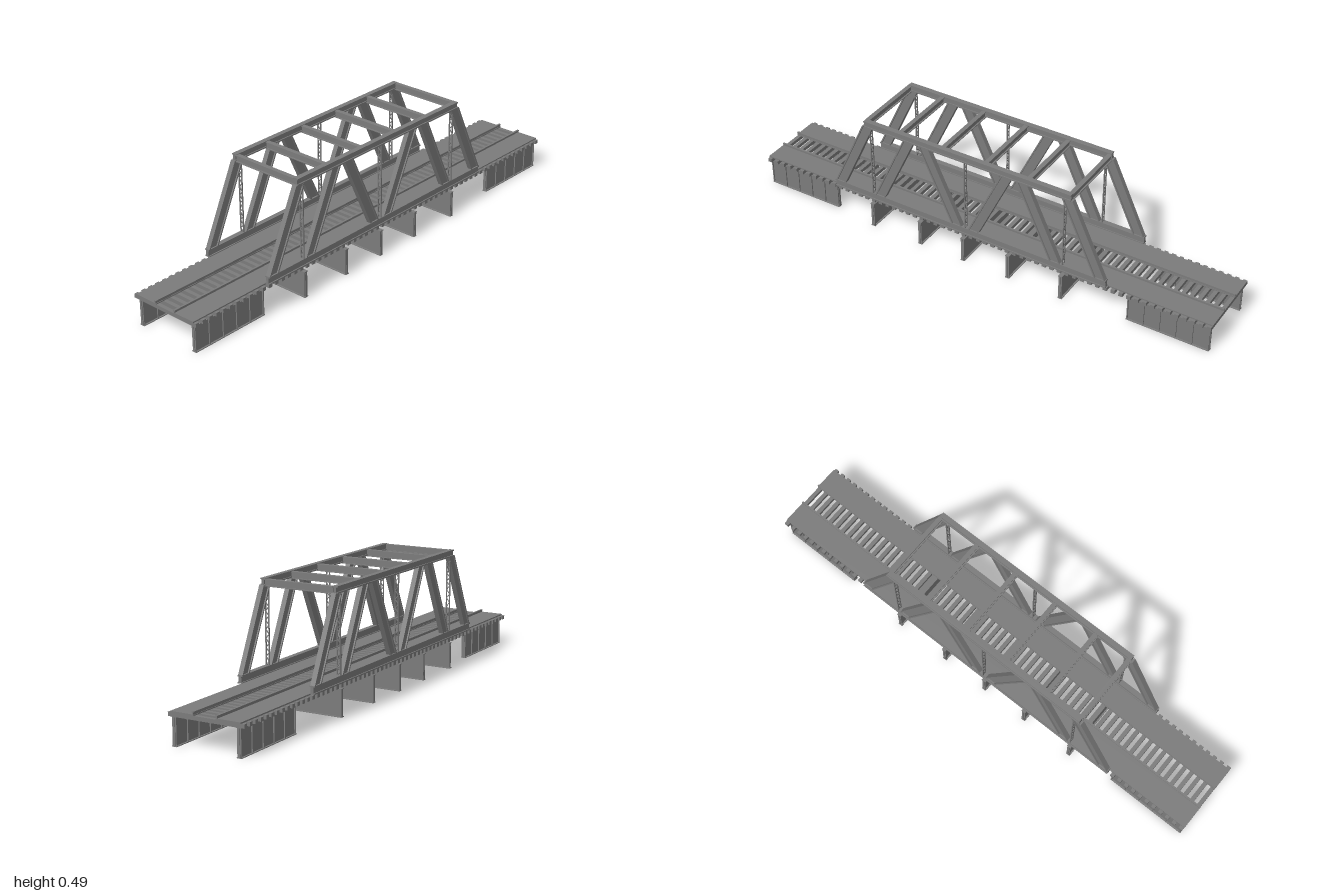
import * as THREE from 'three';

const steel = new THREE.MeshStandardMaterial({ color: 0x7b7b7b, flatShading: true });
const MID = -0.037; // centre of the truss span along the track
const OFF = -0.002; // slight sideways offset of track and truss

function add(parent, name, geometry, x = 0, y = 0, z = 0) {
  const mesh = new THREE.Mesh(geometry, steel);
  mesh.name = name;
  mesh.position.set(x, y, z);
  parent.add(mesh);
  return mesh;
}

const box = (parent, name, sx, sy, sz, x, y, z) =>
  add(parent, name, new THREE.BoxGeometry(sx, sy, sz), x, y, z);

// I-section centred on its axis: width in x, depth in y, length in z
function iBeam(length, width, depth, flange, web) {
  const w = width / 2, d = depth / 2, t = web / 2, f = d - flange;
  const right = [[w, -d], [w, -f], [t, -f], [t, f], [w, f], [w, d]];
  const left = right.map(([x, y]) => [-x, y]).reverse();
  const shape = new THREE.Shape([...right, ...left].map(([x, y]) => new THREE.Vector2(x, y)));
  return new THREE.ExtrudeGeometry(shape, { depth: length, bevelEnabled: false }).translate(0, 0, -length / 2);
}

// Sloping truss member with level ends, flanges facing along the span
function slopedBeam(x0, y0, x1, y1) {
  const matrix = new THREE.Matrix4().makeBasis(
    new THREE.Vector3(0, 0, 1), new THREE.Vector3(1, 0, 0), new THREE.Vector3(x1 - x0, y1 - y0, 0));
  return iBeam(1, 0.02, 0.046, 0.006, 0.009).applyMatrix4(matrix)
    .translate((x0 + x1) / 2, (y0 + y1) / 2, 0);
}

// Thin laced hanger: two strips joined by a zigzag
function lacedHanger(x, y0, y1) {
  const group = new THREE.Group();
  group.name = 'lacedHanger';
  const height = y1 - y0, bays = 18, step = height / bays, half = 0.007;
  for (const s of [-1, 1]) box(group, 'hangerStrip', 0.004, height, 0.004, x, (y0 + y1) / 2, s * half);
  for (let i = 0; i < bays; i++) {
    const lace = box(group, 'lacing', 0.003, Math.hypot(step, 2 * half), 0.003, x, y0 + (i + 0.5) * step, 0);
    lace.rotation.x = (i % 2 ? 1 : -1) * Math.atan2(2 * half, step);
  }
  return group;
}

function trussSide() {
  const group = new THREE.Group();
  group.name = 'trussSide';
  const low = 0.153, high = 0.462;
  // Chords
  add(group, 'bottomChord', iBeam(1.22, 0.021, 0.031, 0.005, 0.012).rotateY(Math.PI / 2), 0, 0.1405, 0);
  add(group, 'topChord', iBeam(0.91, 0.021, 0.027, 0.005, 0.012).rotateY(Math.PI / 2), 0, 0.4725, 0);
  // End posts and diagonals, mirrored about mid-span
  for (const s of [-1, 1]) {
    add(group, 'endPost', slopedBeam(s * 0.585, low, s * 0.44, high));
    add(group, 'outerDiagonal', slopedBeam(s * 0.395, low, s * 0.25, high));
    add(group, 'innerDiagonal', slopedBeam(s * 0.037, low, s * 0.183, high));
  }
  // Hangers
  for (const x of [-0.428, 0, 0.428]) group.add(lacedHanger(x, low, high));
  return group;
}

export function createModel() {
  const model = new THREE.Group();
  model.name = 'railwayTrussBridge';

  // Trusses
  for (const s of [-1, 1]) {
    const truss = trussSide();
    truss.position.set(MID, 0, s * 0.153 + OFF);
    model.add(truss);
  }

  // Overhead cross beams
  for (const x of [-0.486, -0.331, -0.139, 0.05, 0.235, 0.412]) {
    add(model, 'overheadBeam', iBeam(0.29, 0.018, 0.027, 0.003, 0.006), x, 0.4705, OFF);
  }

  // Ties
  const ties = 62, pitch = 1.98 / (ties - 1);
  for (let i = 0; i < ties; i++) {
    box(model, 'tie', 0.016, 0.015, 0.312, -0.99 + i * pitch, 0.1145, OFF - 0.001);
  }

  // Walkway decks and rails
  for (const s of [-1, 1]) {
    box(model, 'walkway', 2, 0.005, 0.094, 0, 0.1245, s * 0.097 + OFF);
    add(model, 'rail', iBeam(2, 0.008, 0.015, 0.004, 0.004).rotateY(Math.PI / 2), 0, 0.1295, s * 0.0485);
  }

  // Cross girders under the span
  for (const x of [-0.466, -0.242, -0.044, 0.158, 0.389]) {
    add(model, 'crossGirder', iBeam(0.338, 0.018, 0.107, 0.003, 0.006), x, 0.0535, 0);
    for (const z of [-0.165, 0.165]) {
      box(model, 'girderStiffener', 0.015, 0.101, 0.004, x, 0.0535, z);
    }
  }

  // Approach girders at both ends
  for (const sx of [-1, 1]) {
    for (const sz of [-1, 1]) {
      const x = sx * 0.824, z = sz * 0.1325;
      add(model, 'approachGirder', iBeam(0.338, 0.02, 0.107, 0.003, 0.007).rotateY(Math.PI / 2), x, 0.0535, z);
      for (let i = 0; i < 6; i++) {
        box(model, 'approachStiffener', 0.004, 0.101, 0.017, x - 0.165 + i * 0.066, 0.0535, z);
      }
    }
  }
  return model;
}
